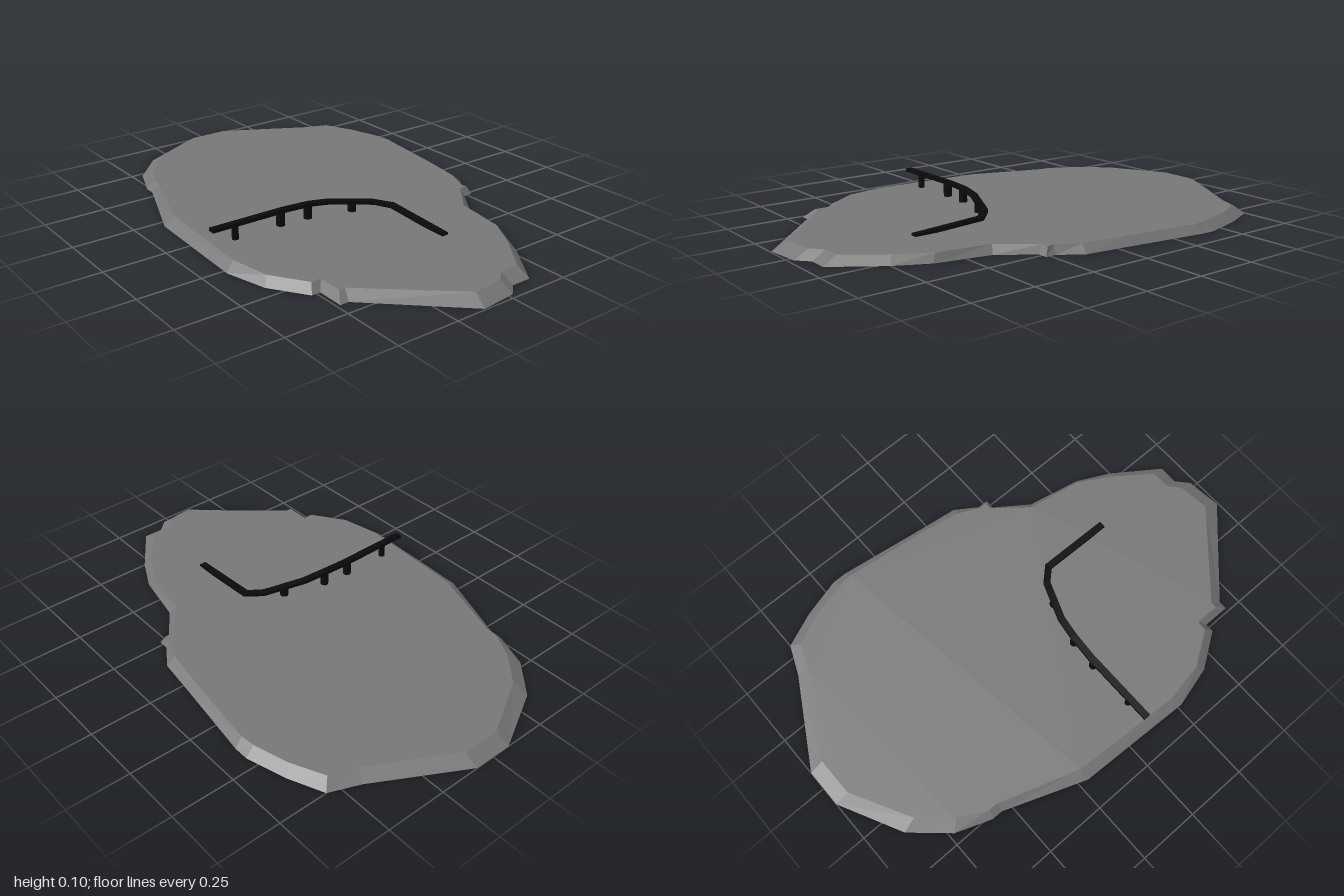
import * as THREE from 'three';

const TOP = 0.032; // height of the plateau

// Shoreline: [base x, base z, top x, top z] around the island
const SHORE = [
  [-0.08, -1, -0.08, -0.94], [0.08, -1, 0.08, -0.94], [0.43, -0.8, 0.41, -0.755],
  [0.55, -0.75, 0.515, -0.715], [0.61, -0.61, 0.575, -0.585], [0.655, -0.45, 0.615, -0.44],
  [0.655, -0.39, 0.62, -0.38], [0.61, -0.06, 0.58, -0.06], [0.585, 0.135, 0.55, 0.125],
  [0.525, 0.225, 0.505, 0.22], [0.525, 0.268, 0.51, 0.25], [0.485, 0.268, 0.475, 0.25],
  [0.39, 0.4, 0.365, 0.385], [0.345, 0.62, 0.33, 0.6], [0.28, 0.75, 0.255, 0.73],
  [0.15, 0.935, 0.145, 0.88], [0.07, 0.935, 0.065, 0.88], [0.02, 0.98, 0.02, 0.92],
  [-0.125, 0.995, -0.11, 0.935], [-0.45, 0.69, -0.435, 0.65], [-0.485, 0.69, -0.46, 0.65],
  [-0.485, 0.58, -0.46, 0.55], [-0.52, 0.58, -0.5, 0.55], [-0.615, 0.44, -0.59, 0.415],
  [-0.66, 0.27, -0.62, 0.25], [-0.64, -0.21, -0.595, -0.21], [-0.515, -0.54, -0.485, -0.54],
  [-0.515, -0.585, -0.485, -0.575], [-0.46, -0.73, -0.425, -0.69], [-0.335, -0.87, -0.32, -0.81],
];

// Centre line of the walkway deck
const PATH = [
  [-0.62, 0.093, 0.107], [-0.3, 0.091, 0.107], [-0.19, 0.089, 0.115], [-0.1, 0.081, 0.13],
  [0.06, 0.06, 0.195], [0.112, 0.05, 0.25], [0.112, 0.034, 0.55],
].map((p) => new THREE.Vector3(...p));

function meshFrom(name, positions, index, material) {
  let geometry = new THREE.BufferGeometry();
  geometry.setAttribute('position', new THREE.Float32BufferAttribute(positions, 3));
  geometry.setIndex(index);
  geometry = geometry.toNonIndexed();
  geometry.computeVertexNormals();
  const mesh = new THREE.Mesh(geometry, material);
  mesh.name = name;
  return mesh;
}

// Slab with sloping banks and flat caps
function makeIsland(material) {
  const n = SHORE.length, index = [];
  const positions = [
    ...SHORE.flatMap(([x, z]) => [x, 0, z]),
    ...SHORE.flatMap(([, , x, z]) => [x, TOP, z]),
  ];
  for (let i = 0; i < n; i++) {
    const j = (i + 1) % n;
    index.push(i, n + i, j, n + i, n + j, j);
  }
  const cap = (k) => THREE.ShapeUtils.triangulateShape(
    SHORE.map((s) => new THREE.Vector2(s[k], s[k + 1])), []);
  cap(0).forEach(([a, b, c]) => index.push(a, b, c));
  cap(2).forEach(([a, b, c]) => index.push(n + a, n + c, n + b));
  return meshFrom('island', positions, index, material);
}

// Rectangular strip swept along the path with mitred bends
function makeDeck(material, half = 0.014, thick = 0.007) {
  const positions = [], index = [], last = PATH.length - 1;
  PATH.forEach((p, i) => {
    const flat = (a, b) => new THREE.Vector3(b.x - a.x, 0, b.z - a.z).normalize();
    const before = flat(PATH[Math.max(i - 1, 0)], PATH[Math.max(i, 1)]);
    const after = flat(PATH[Math.min(i, last - 1)], PATH[Math.min(i + 1, last)]);
    const dir = before.clone().add(after).normalize();
    const w = half / dir.dot(after);
    const sx = -dir.z * w, sz = dir.x * w;
    for (const [s, h] of [[-1, -1], [1, -1], [1, 1], [-1, 1]]) {
      positions.push(p.x + s * sx, p.y + h * thick, p.z + s * sz);
    }
    if (i === last) return;
    for (let k = 0; k < 4; k++) {
      const a = i * 4 + k, b = i * 4 + (k + 1) % 4;
      index.push(a, a + 4, b, b, a + 4, b + 4);
    }
  });
  const e = last * 4;
  index.push(0, 1, 2, 0, 2, 3, e, e + 2, e + 1, e, e + 3, e + 2);
  material.side = THREE.DoubleSide;
  return meshFrom('walkwayDeck', positions, index, material);
}

export function createModel() {
  const model = new THREE.Group();
  const stone = new THREE.MeshStandardMaterial({ color: 0x777777 });
  const dark = new THREE.MeshStandardMaterial({ color: 0x0a0a0a });

  model.add(makeIsland(stone));

  const walkway = new THREE.Group();
  walkway.name = 'walkway';
  walkway.add(makeDeck(dark));

  // Posts under the raised stretch: x, z, deck height, radius
  const posts = [
    [-0.52, 0.107, 0.092, 0.013], [-0.318, 0.107, 0.09, 0.017],
    [-0.197, 0.114, 0.088, 0.017], [-0.02, 0.162, 0.07, 0.017],
  ];
  for (const [x, z, y, r] of posts) {
    const post = new THREE.Mesh(new THREE.CylinderGeometry(r, r, y - TOP + 0.01, 12), dark);
    post.name = 'walkwayPost';
    post.position.set(x, (y + TOP - 0.01) / 2, z);
    walkway.add(post);
  }
  model.add(walkway);
  return model;
}
